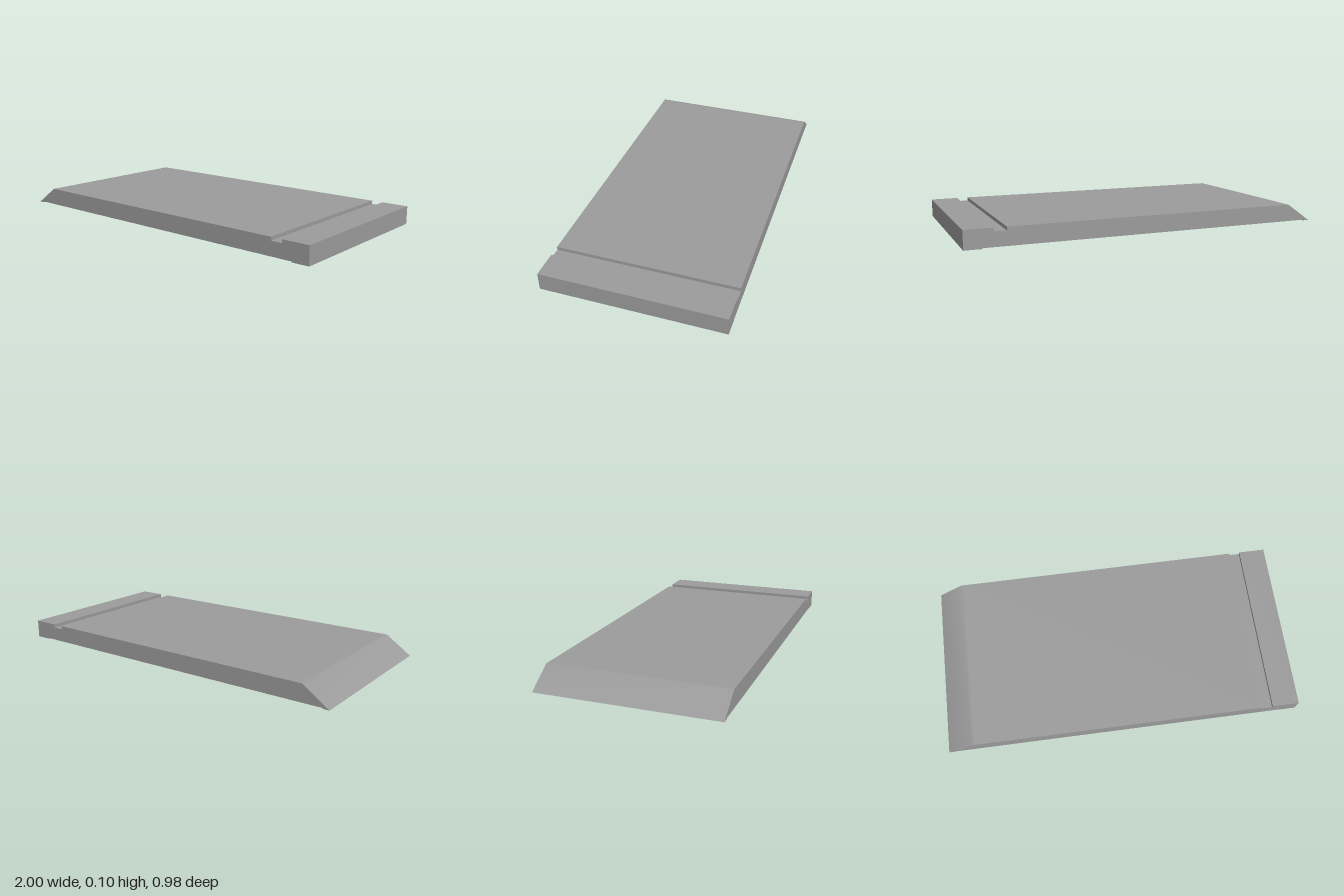
import * as THREE from 'three';
import { toCreasedNormals } from 'three/addons/utils/BufferGeometryUtils.js';

const WIDTH = 0.984;

export function createModel() {
  const group = new THREE.Group();
  group.name = 'beveledSlab';

  // Side profile: shallow underside relief, square end, cross groove, sloped end.
  // The point at -0.84 keeps the soft shading of the slope off the flat top.
  const profile = [
    [-1, 0], [-0.965, 0], [-0.965, 0.004], [0.905, 0.004], [0.905, 0], [1, 0],
    [1, 0.1], [0.85, 0.1], [0.85, 0.081], [0.787, 0.081], [0.787, 0.1],
    [-0.84, 0.1], [-0.855, 0.1],
  ];
  const shape = new THREE.Shape(profile.map(([x, y]) => new THREE.Vector2(x, y)));

  const geometry = new THREE.ExtrudeGeometry(shape, { depth: WIDTH, bevelEnabled: false });
  geometry.translate(0, 0, -WIDTH / 2);

  // The slope blends softly into the top; all other edges stay sharp
  const slab = new THREE.Mesh(
    toCreasedNormals(geometry, THREE.MathUtils.degToRad(40)),
    new THREE.MeshStandardMaterial({ color: 0x9b9b9b }),
  );
  slab.name = 'groovedSlab';
  group.add(slab);
  return group;
}
